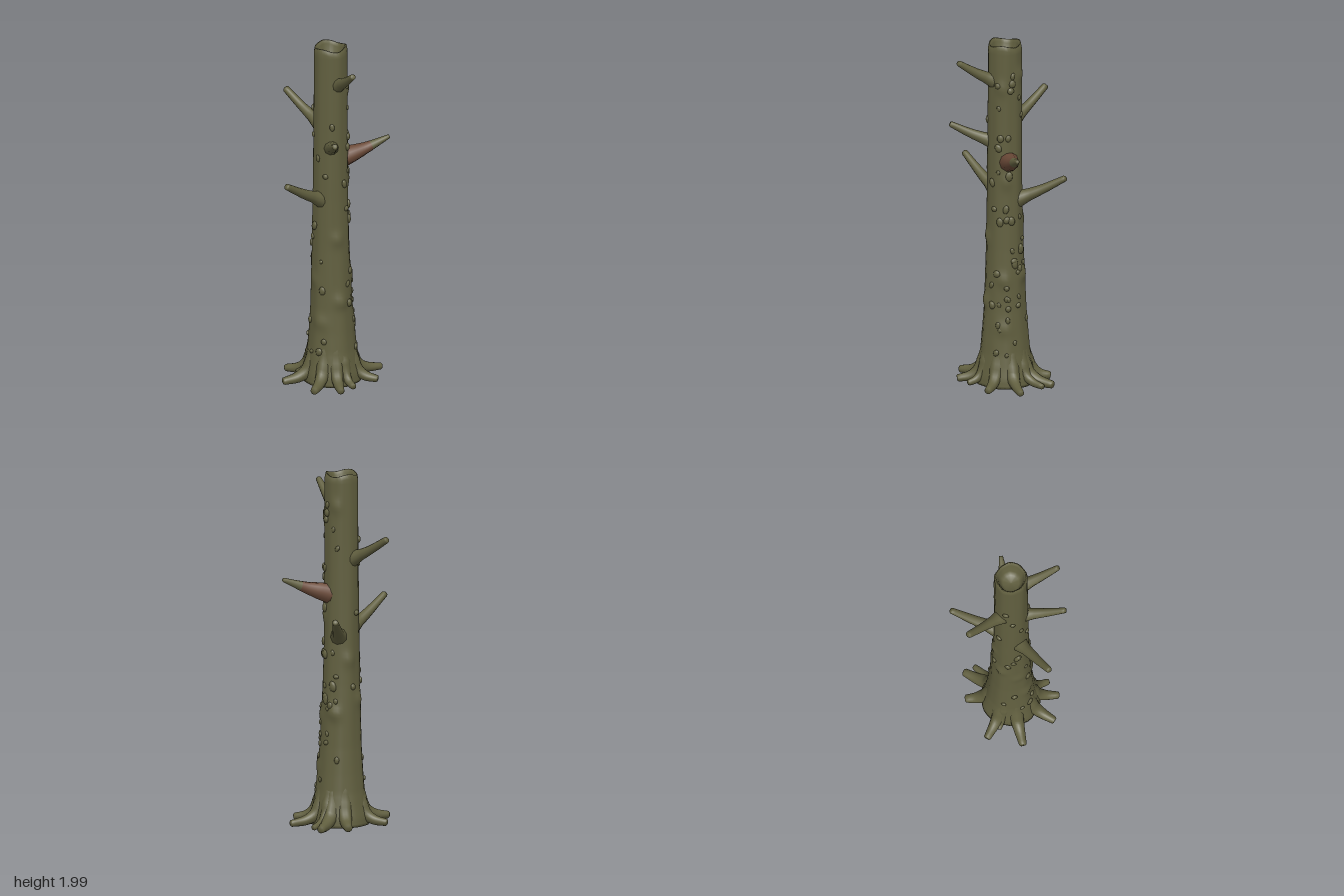
import * as THREE from 'three';
import { mergeGeometries } from 'three/addons/utils/BufferGeometryUtils.js';

const bark = new THREE.MeshStandardMaterial({ color: 0x615f3f });
bark.name = 'olive bark';
const redWood = new THREE.MeshStandardMaterial({ color: 0x6b4a38 });
redWood.name = 'reddish wood';

// Small seeded random
let seed = 11;
const rand = () => (seed = (seed * 16807) % 2147483647) / 2147483647;
const range = (a, b) => a + (b - a) * rand();

// Skin a list of rings; each ring is an array of Vector3 going round the axis
function loft(rings) {
  const n = rings[0].length;
  const pos = [], index = [];
  rings.forEach(ring => ring.forEach(p => pos.push(p.x, p.y, p.z)));
  for (let i = 0; i < rings.length - 1; i++) {
    for (let j = 0; j < n; j++) {
      const a = i * n + j, b = i * n + (j + 1) % n;
      index.push(a, b, a + n, b, b + n, a + n);
    }
  }
  const g = new THREE.BufferGeometry();
  g.setAttribute('position', new THREE.Float32BufferAttribute(pos, 3));
  g.setIndex(index);
  g.computeVertexNormals();
  return g;
}

// Piecewise linear value through evenly spaced stops
function ramp(stops, t) {
  const s = t * (stops.length - 1), i = Math.min(Math.floor(s), stops.length - 2);
  return THREE.MathUtils.lerp(stops[i], stops[i + 1], s - i);
}

// Tapered limb along a curve, closed by a blunt tip
function limb(points, radii, { sides = 10, steps = 16, floor = -1 } = {}) {
  const curve = new THREE.CatmullRomCurve3(points);
  const frames = curve.computeFrenetFrames(steps);
  const rings = [];
  const addRing = (c, k, r) => {
    const ring = [];
    for (let j = 0; j < sides; j++) {
      const a = (j / sides) * Math.PI * 2;
      const p = c.clone()
        .addScaledVector(frames.normals[k], Math.cos(a) * r)
        .addScaledVector(frames.binormals[k], Math.sin(a) * r);
      p.y = Math.max(p.y, floor);
      ring.push(p);
    }
    rings.push(ring);
  };
  for (let k = 0; k <= steps; k++) addRing(curve.getPointAt(k / steps), k, ramp(radii, k / steps));
  const end = curve.getPointAt(1).addScaledVector(frames.tangents[steps], 0.006);
  const r = radii[radii.length - 1];
  addRing(end, steps, r * 0.75);
  addRing(end, steps, 0);
  return loft(rings);
}

// Trunk outline [height, radius], from the underside up and over the hollow rim
const PROFILE = [
  [0.012, 0], [0.012, 0.165], [0.06, 0.162], [0.12, 0.15], [0.2, 0.137], [0.3, 0.128], [0.45, 0.117],
  [0.8, 0.104], [1.1, 0.098], [1.5, 0.095], [1.965, 0.093], [1.99, 0.088],
  [1.99, 0.08], [1.97, 0.073], [1.92, 0.062], [1.9, 0.045], [1.895, 0],
];
const OUTER_TOP = 10;
// Swellings [height, angle, size]; angle 0 is +x, PI / 2 is +z
const SWELLS = [
  [0.87, 1.5, 0.012], [0.5, 1.4, 0.014], [0.65, -0.9, 0.016], [0.62, 2.9, 0.008],
  [0.95, -1.7, 0.01], [1.75, 0.4, 0.01], [1.82, -0.9, 0.01], [0.35, 0.3, 0.01],
  [0.38, 2.4, 0.01], [1.2, 0.1, 0.009], [0.72, -2.4, 0.012], [0.63, 0.3, 0.012],
];
const centreX = y => -0.01 - 0.009 * Math.min(y, 1);

function outerRadius(y) {
  for (let i = 2; i <= OUTER_TOP; i++) {
    const [y0, r0] = PROFILE[i - 1], [y1, r1] = PROFILE[i];
    if (y <= y1) return r0 + (r1 - r0) * (y - y0) / (y1 - y0);
  }
  return PROFILE[OUTER_TOP][1];
}

function buildTrunk() {
  const SIDES = 40, rings = [];
  const addRing = (y, r, outside) => {
    const ring = [];
    for (let j = 0; j < SIDES; j++) {
      const a = -(j / SIDES) * Math.PI * 2;
      let rr = r * (1 + 0.012 * Math.sin(a * 5 + y * 4) + 0.012 * Math.sin(a * 10 + 1));
      if (outside) {
        for (const [sy, sa, size] of SWELLS) {
          const da = Math.atan2(Math.sin(a - sa), Math.cos(a - sa));
          rr += size * Math.exp(-((y - sy) ** 2) / 0.0015 - da * da / 0.09);
        }
      }
      const lift = y > 1.95 ? 0.008 * Math.sin(a * 3 + 0.5) : 0;
      ring.push(new THREE.Vector3(centreX(y) + rr * Math.cos(a), y + lift, 0.008 + rr * Math.sin(a)));
    }
    rings.push(ring);
  };
  PROFILE.forEach(([y, r], i) => {
    if (i > 1 && i <= OUTER_TOP) {
      const [y0, r0] = PROFILE[i - 1];
      const n = Math.ceil((y - y0) / 0.02);
      for (let k = 1; k < n; k++) addRing(y0 + (y - y0) * k / n, r0 + (r - r0) * k / n, true);
    }
    addRing(y, r, i > 0 && i <= OUTER_TOP);
  });
  return loft(rings);
}

// Root tips [x, z, thickness]
const ROOTS = [
  [0.285, -0.024, 0.019], [0.21, 0.15, 0.02], [0.05, 0.228, 0.017], [-0.038, 0.272, 0.02],
  [-0.183, 0.228, 0.021], [-0.3, 0.034, 0.021], [-0.23, -0.158, 0.02], [-0.185, -0.085, 0.015],
  [0.018, -0.24, 0.023], [0.175, -0.225, 0.022], [0.198, -0.165, 0.016],
];

function rootGeometry([x, z, r]) {
  const cx = -0.012, cz = 0.008;
  const len = Math.hypot(x - cx, z - cz);
  const at = (d, y) => new THREE.Vector3(cx + (x - cx) * d / len, y, cz + (z - cz) * d / len);
  const path = [at(0.085, 0.3), at(0.105, 0.16), at(0.145, 0.075), at(len * 0.35 + 0.1, 0.042), at(len - 0.004, 0.03)];
  return limb(path, [0.028, 0.042, 0.044, r * 1.55, r], { sides: 12, steps: 20, floor: 0.006 });
}

// Branches: start on the trunk, tip, radii
const BRANCHES = [
  { name: 'lowerRightBranch', from: [-0.08, 1.095, 0.04], to: [-0.322, 1.25, 0.175], radii: [0.05, 0.032, 0.027, 0.022, 0.018] },
  { name: 'lowerBackBranch', from: [0.015, 1.08, -0.055], to: [0.115, 1.218, -0.305], radii: [0.05, 0.034, 0.027, 0.022, 0.017] },
  { name: 'upperBackBranch', from: [-0.065, 1.515, -0.05], to: [-0.197, 1.655, -0.255], radii: [0.046, 0.031, 0.025, 0.022, 0.019] },
  { name: 'middleFrontBranch', from: [-0.035, 1.41, 0.07], to: [-0.082, 1.51, 0.3], radii: [0.045, 0.032, 0.026, 0.021, 0.016] },
  { name: 'topFrontBranch', from: [0.0, 1.775, 0.065], to: [0.029, 1.905, 0.277], radii: [0.045, 0.032, 0.026, 0.021, 0.016] },
  { name: 'brokenLeftBranch', from: [0.05, 1.315, 0.0], to: [0.318, 1.408, 0.003], radii: [0.058, 0.047, 0.033, 0.022, 0.012], red: 0.62 },
];

function buildBranch({ name, from, to, radii, red }) {
  const a = new THREE.Vector3(...from), b = new THREE.Vector3(...to);
  const mid = a.clone().lerp(b, 0.5);
  mid.y -= 0.006;
  const steps = 16, sides = 10;
  const g = limb([a, mid, b], radii, { sides, steps });
  let material = bark;
  if (red) {
    // Bare reddish wood near the trunk, bark towards the tip
    const split = Math.round(steps * red) * sides * 6;
    g.addGroup(0, split, 0);
    g.addGroup(split, g.index.count - split, 1);
    material = [redWood, bark];
  }
  const mesh = new THREE.Mesh(g, material);
  mesh.name = name;
  return mesh;
}

// Small bark lumps scattered over the trunk
function buildLumps() {
  const parts = [];
  for (let i = 0; i < 64; i++) {
    const y = i < 36 ? range(0.2, 0.85) : range(0.85, 1.9);
    const a = i % 3 ? range(-1.0, 1.0) : range(0, Math.PI * 2);
    const s = range(0.011, 0.021);
    const g = new THREE.SphereGeometry(1, 8, 6);
    g.scale(s * 0.6, s * range(0.8, 1.5), s);
    g.rotateX(range(-0.5, 0.5));
    g.rotateY(-a);
    const r = outerRadius(y) + 0.002;
    g.translate(centreX(y) + r * Math.cos(a), y, 0.008 + r * Math.sin(a));
    parts.push(g);
  }
  return mergeGeometries(parts);
}

export function createModel() {
  const tree = new THREE.Group();
  tree.name = 'deadTree';
  const add = (name, geometry) => {
    const mesh = new THREE.Mesh(geometry, bark);
    mesh.name = name;
    tree.add(mesh);
  };
  add('trunk', buildTrunk());
  add('barkLumps', buildLumps());
  ROOTS.forEach((root, i) => add(`root${i + 1}`, rootGeometry(root)));
  BRANCHES.forEach(branch => tree.add(buildBranch(branch)));
  return tree;
}
